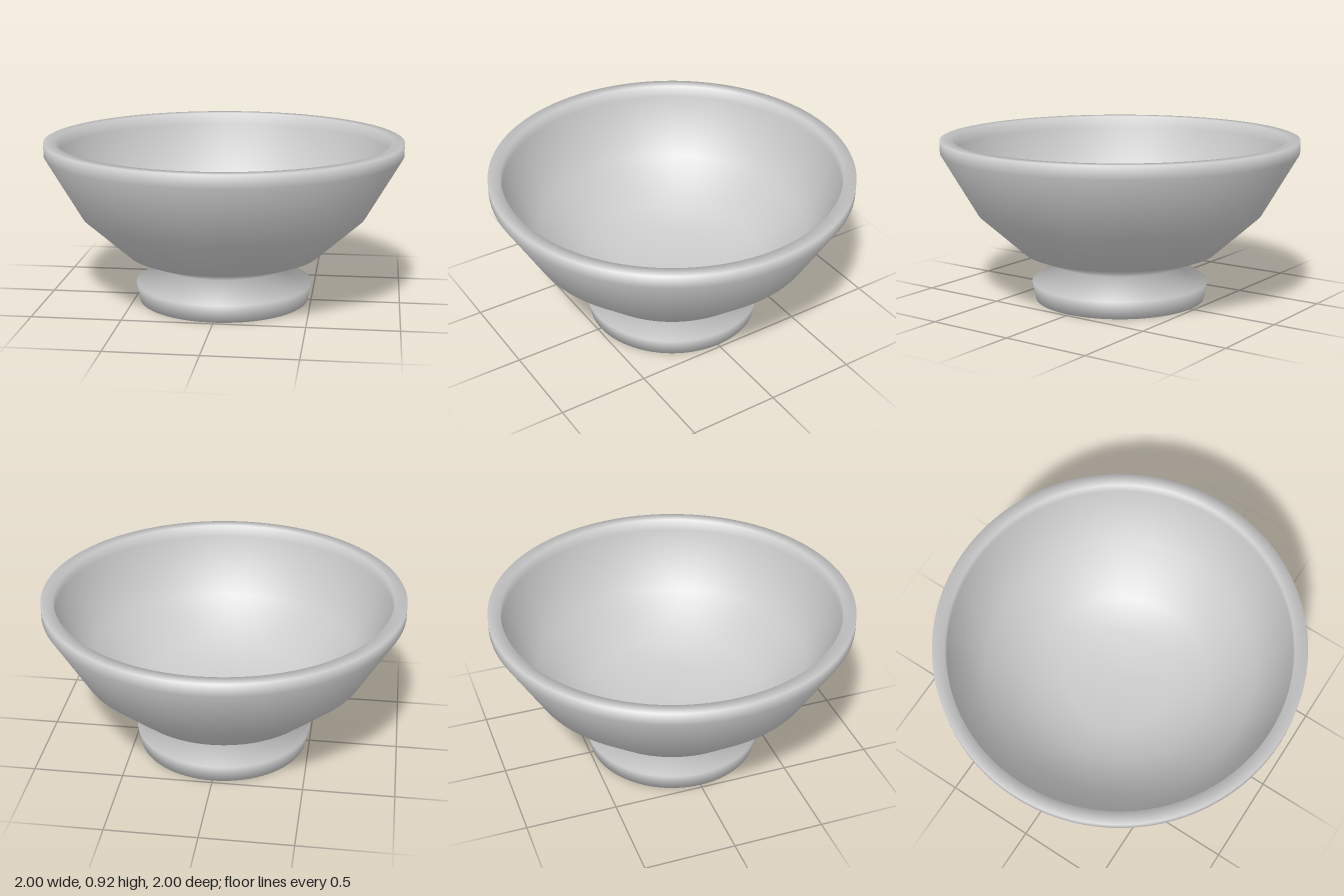
import * as THREE from 'three';

const glaze = new THREE.MeshStandardMaterial({ color: 0xcccccc });
glaze.name = 'grey glaze';

// Lathe whose normals average the directions of neighbouring profile segments equally
function smoothLathe(profile, segments) {
  const points = profile.map(([r, y]) => new THREE.Vector2(r, y));
  const geometry = new THREE.LatheGeometry(points, segments);
  const sides = points.slice(1).map((p, i) => {
    const d = p.clone().sub(points[i]).normalize();
    return new THREE.Vector2(d.y, -d.x);
  });
  const last = points.length - 1;
  const normals = points.map((p, i) => {
    if (i === 0 || i === last) return new THREE.Vector2(0, i === 0 ? -1 : 1);
    return sides[i - 1].clone().add(sides[i]).normalize();
  });
  const attribute = geometry.attributes.normal;
  for (let s = 0; s <= segments; s++) {
    const a = (s / segments) * Math.PI * 2;
    normals.forEach((n, i) =>
      attribute.setXYZ(s * points.length + i, n.x * Math.sin(a), n.y, n.x * Math.cos(a)));
  }
  return geometry;
}

export function createModel() {
  const group = new THREE.Group();
  group.name = 'footedBowl';

  const profile = [
    // foot
    [0, 0], [0.48, 0], [0.5, 0.1], [0.35, 0.2],
    // outer wall and rim
    [0.55, 0.28], [0.8, 0.505], [1, 0.85], [1, 0.92], [0.93, 0.92],
    // inner wall and floor
    [0.93, 0.85], [0.75, 0.54], [0.5, 0.34], [0.3, 0.28], [0, 0.26],
  ];
  const bowl = new THREE.Mesh(smoothLathe(profile, 96), glaze);
  bowl.name = 'bowl';
  group.add(bowl);
  return group;
}
